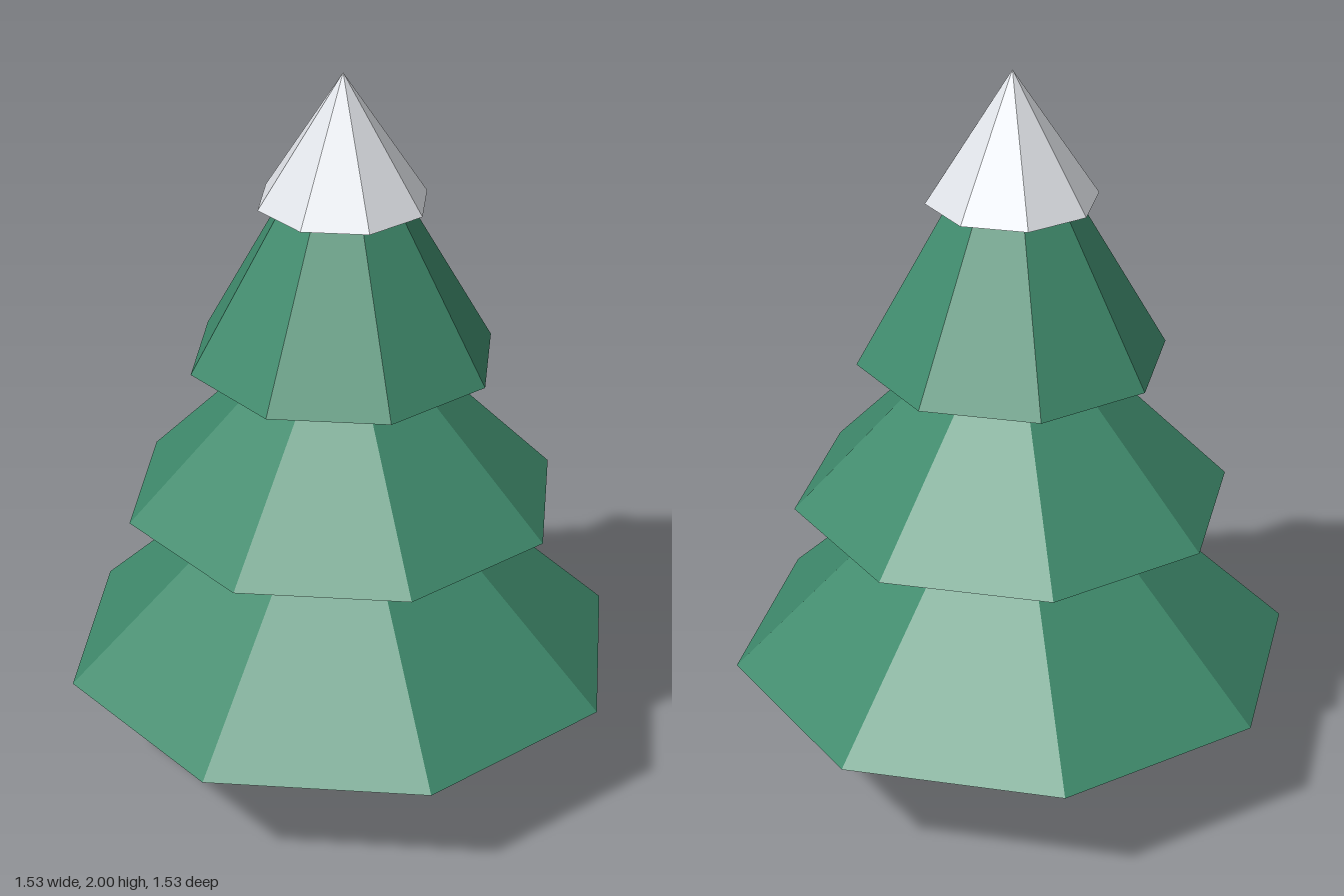
import * as THREE from 'three';

const flat = (name, color) => {
  const m = new THREE.MeshStandardMaterial({ color, flatShading: true });
  m.name = name;
  return m;
};

export function createModel() {
  const tree = new THREE.Group();
  tree.name = 'snowyPine';

  const green = flat('needleGreen', 0x3f8a6c);
  const snow = flat('snowWhite', 0xe6e9ee);
  const brown = flat('barkBrown', 0x8f6239);

  const add = (name, geometry, material, y) => {
    const mesh = new THREE.Mesh(geometry, material);
    mesh.name = name;
    mesh.position.y = y;
    tree.add(mesh);
  };

  // Six-sided trunk, reaching just inside the lowest tier
  const trunkHeight = 0.36;
  add('trunk', new THREE.CylinderGeometry(0.12, 0.12, trunkHeight, 6), brown, trunkHeight / 2);

  // Stacked eight-sided cones: name, radius, base height, tip height, material
  const cones = [
    ['lowerBranches', 0.766, 0.33, 1.07, green],
    ['snowBand', 0.42, 0.763, 1.1, snow],
    ['middleBranches', 0.59, 0.803, 1.41, green],
    ['upperBranches', 0.412, 1.217, 1.943, green],
    ['snowCap', 0.226, 1.655, 2, snow],
  ];
  for (const [name, radius, base, tip, material] of cones) {
    add(name, new THREE.ConeGeometry(radius, tip - base, 8), material, (base + tip) / 2);
  }

  return tree;
}
